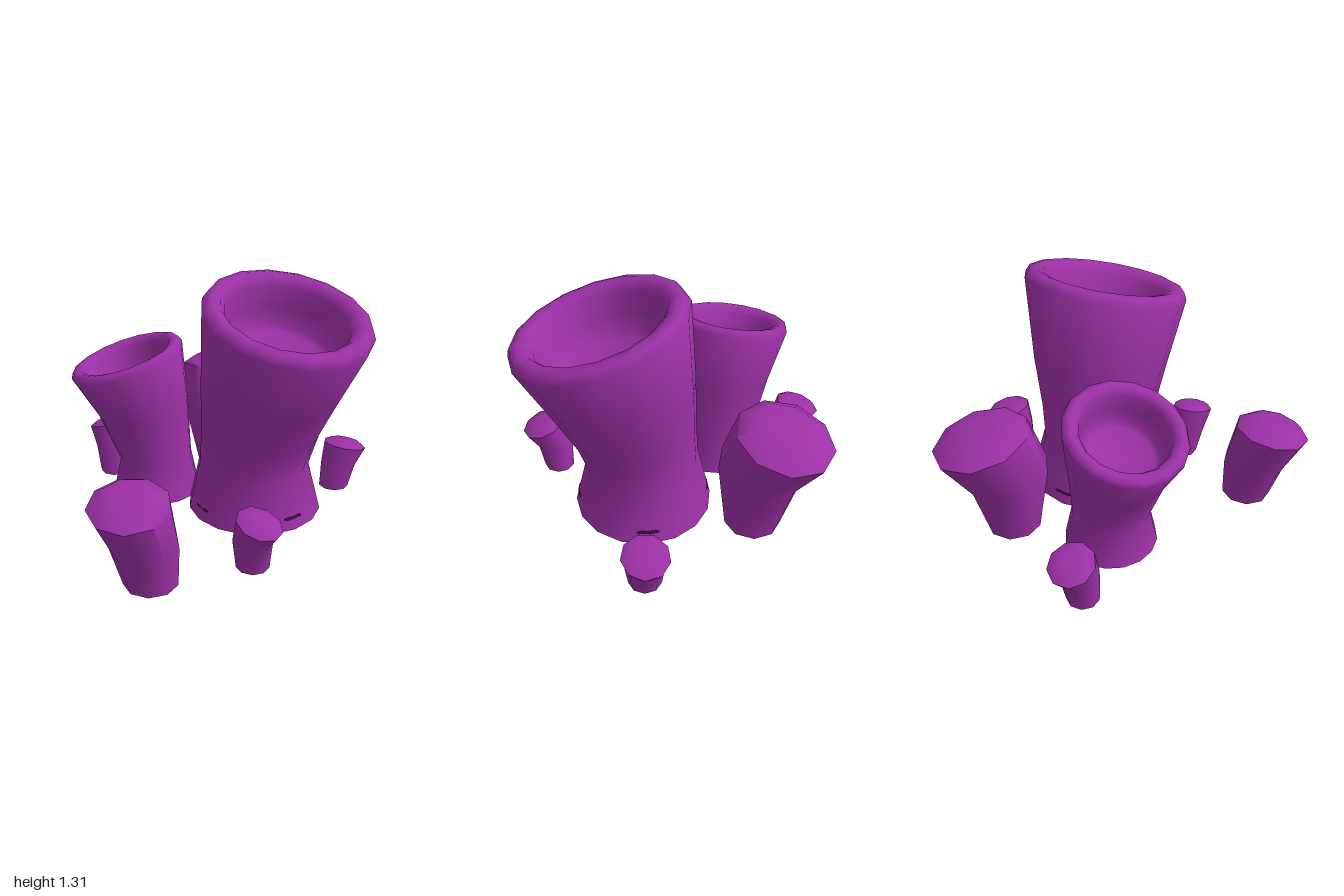
import * as THREE from 'three';
import { toCreasedNormals } from 'three/addons/utils/BufferGeometryUtils.js';

const purple = new THREE.MeshStandardMaterial({ color: 0x9b30a5 });
purple.name = 'purple';
const darkPurple = new THREE.MeshStandardMaterial({ color: 0x3e0a4c });
darkPurple.name = 'dark purple';

// Skin through round rings { c: centre, r: radius, s: [slope along x, slope along z] }
function loft(rings, sides, crease) {
  const pos = [], idx = [];
  for (const { c, r, s = [0, 0] } of rings) {
    for (let j = 0; j < sides; j++) {
      const a = (j / sides) * Math.PI * 2;
      const dx = Math.cos(a) * r, dz = Math.sin(a) * r;
      pos.push(c[0] + dx, c[1] + s[0] * dx + s[1] * dz, c[2] + dz);
    }
  }
  for (let i = 0; i < rings.length - 1; i++) {
    for (let j = 0; j < sides; j++) {
      const a = i * sides + j, b = i * sides + ((j + 1) % sides);
      if (rings[i].r > 0) idx.push(a, a + sides, b);
      if (rings[i + 1].r > 0) idx.push(b, a + sides, b + sides);
    }
  }
  const g = new THREE.BufferGeometry();
  g.setAttribute('position', new THREE.Float32BufferAttribute(pos, 3));
  g.setIndex(idx);
  return toCreasedNormals(g, crease);
}

// One growth: underside, flaring stem, then the end rings [radius factor, height] along the tilted axis
function growth(name, { sides, hole, stem, top, end, crease }) {
  const group = new THREE.Group();
  group.name = name;
  const base = stem[0], s = top.s;
  const rings = [{ c: base.c, r: base.r * hole }, ...stem, top];
  for (const [k, h] of end) {
    rings.push({ c: [top.c[0] - s[0] * h, top.c[1] + h, top.c[2] - s[1] * h], r: top.r * k, s });
  }
  const body = new THREE.Mesh(loft(rings, sides, crease), purple);
  body.name = 'stem';
  const disc = new THREE.Mesh(new THREE.CircleGeometry(base.r * hole, sides).rotateX(Math.PI / 2), darkPurple);
  disc.name = 'underside';
  disc.position.set(...base.c);
  group.add(body, disc);
  return group;
}

const ring = (x, y, z, r, sx = 0, sz = 0) => ({ c: [x, y, z], r, s: [sx, sz] });

export function createModel() {
  const model = new THREE.Group();
  model.name = 'tubeCluster';

  // Open cups with rounded lips and a floor inside
  const cup = (name, stem, top, lip, depth) => growth(name, {
    sides: 16, hole: 0.9, crease: 1.2, stem, top,
    end: [[0.96, lip * 0.75], [0.88, lip], [0.79, lip * 0.75], [0.73, 0], [0.69, -depth * 0.5],
      [0.63, -depth * 0.9], [0.57, -depth], [0, -depth]],
  });
  const large = cup('largeCup', [
    ring(0.23, 0.05, -0.085, 0.365),
    ring(0.225, 0.33, -0.075, 0.297, -0.03, -0.04),
    ring(0.255, 0.52, -0.055, 0.318, -0.06, -0.08),
    ring(0.31, 0.77, -0.025, 0.367, -0.1, -0.12),
  ], ring(0.393, 1.15, 0.033, 0.432, -0.19, -0.24), 0.047, 0.22);
  model.add(large);

  model.add(cup('mediumCup', [
    ring(-0.35, 0.06, -0.15, 0.245),
    ring(-0.35, 0.26, -0.15, 0.202, 0.05, -0.02),
    ring(-0.41, 0.56, -0.13, 0.25, 0.15, -0.04),
  ], ring(-0.488, 0.83, -0.112, 0.303, 0.3, -0.09), 0.035, 0.17));

  // Flat dark pores around the foot of the large cup
  for (let i = 0; i < 4; i++) {
    const a = Math.PI / 4 + (i * Math.PI) / 2;
    const pore = new THREE.Mesh(new THREE.SphereGeometry(1, 16, 8), darkPurple);
    pore.name = 'pore';
    pore.scale.set(0.012, 0.01, 0.058);
    pore.position.set(0.23 + Math.cos(a) * 0.34, 0.112, -0.085 + Math.sin(a) * 0.34);
    pore.rotation.y = -a;
    large.add(pore);
  }

  // Closed stumps with low domed ends
  const stump = (name, stem, top, dome) => model.add(growth(name, {
    sides: 9, hole: 0.4, crease: 0.85, stem, top,
    end: [[0.7, dome * 0.85], [0.35, dome], [0, dome]],
  }));
  stump('frontStump', [
    ring(-0.145, 0.005, 0.715, 0.135),
    ring(-0.165, 0.22, 0.735, 0.168, 0, -0.08),
  ], ring(-0.212, 0.46, 0.8, 0.198, -0.03, -0.2), 0.05);
  stump('backStump', [
    ring(-0.04, 0.005, -0.62, 0.15),
    ring(-0.06, 0.38, -0.635, 0.225, 0, 0.12),
  ], ring(-0.07, 0.62, -0.75, 0.25, 0, 0.23), 0.06);
  stump('smallRightStump', [
    ring(-0.68, 0.01, -0.385, 0.085),
    ring(-0.69, 0.18, -0.4, 0.102, 0.1, 0.1),
  ], ring(-0.722, 0.295, -0.445, 0.119, 0.24, 0.2), 0.025);
  stump('smallFrontStump', [
    ring(0.312, 0.01, 0.49, 0.084),
    ring(0.312, 0.17, 0.51, 0.1, -0.1, -0.1),
  ], ring(0.35, 0.29, 0.555, 0.115, -0.28, -0.18), 0.025);
  stump('smallLeftStump', [
    ring(0.65, 0.01, -0.46, 0.085),
    ring(0.668, 0.15, -0.475, 0.1, -0.1, 0.1),
  ], ring(0.7, 0.255, -0.51, 0.122, -0.13, 0.18), 0.025);

  return model;
}
